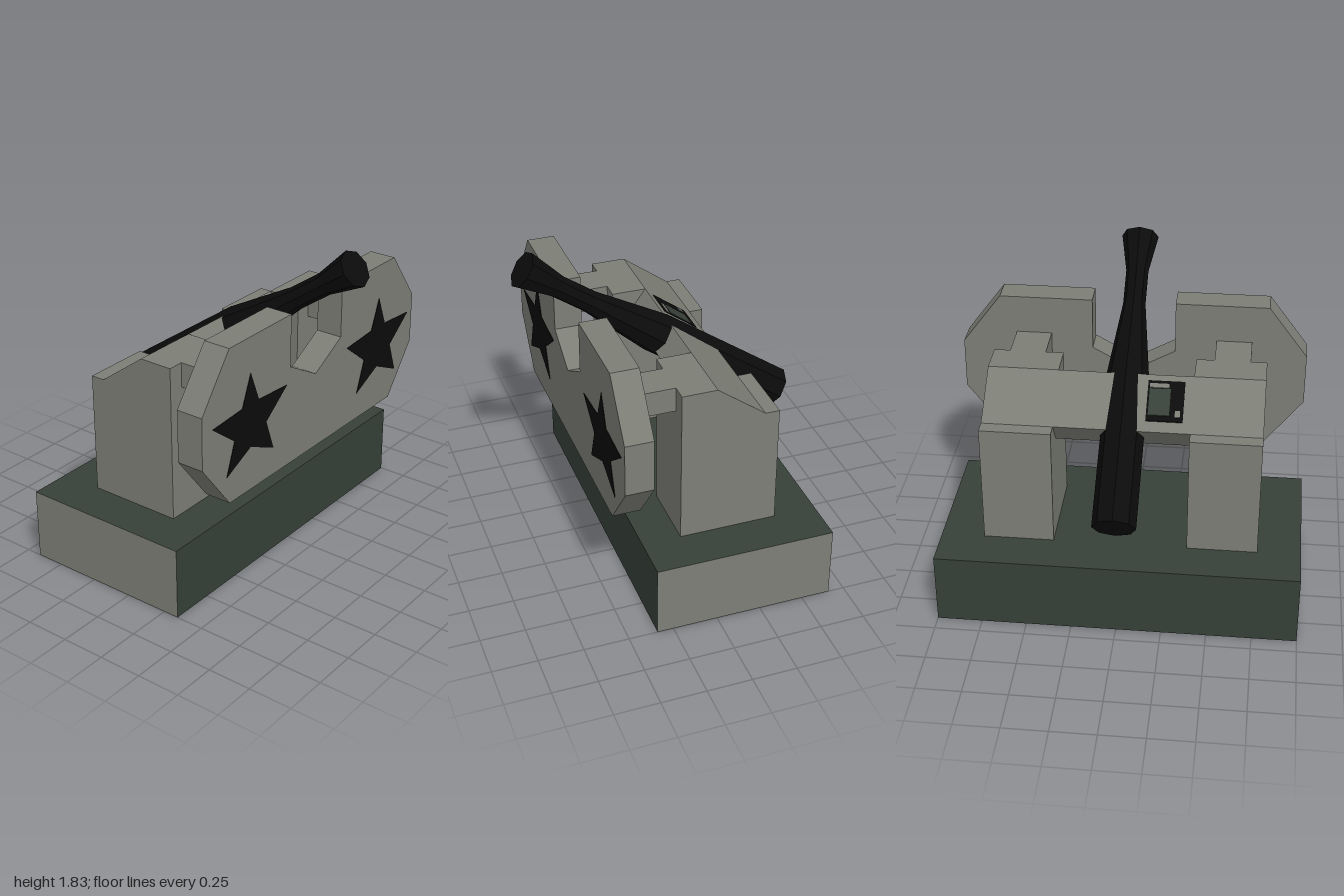
import * as THREE from 'three';

const makeMaterial = (name, color) => {
  const m = new THREE.MeshStandardMaterial({ color, flatShading: true });
  m.name = name;
  return m;
};

const toShape = (pts) => new THREE.Shape(pts.map(([a, b]) => new THREE.Vector2(a, b)));

// Extrude an (x, y) outline from z0 to z1
function extrudeZ(pts, z0, z1) {
  return new THREE.ExtrudeGeometry(toShape(pts), { depth: z1 - z0, bevelEnabled: false }).translate(0, 0, z0);
}

// Extrude a (z, y) side profile from x0 to x1
function extrudeX(pts, x0, x1) {
  return new THREE.ExtrudeGeometry(toShape(pts), { depth: x1 - x0, bevelEnabled: false })
    .rotateY(-Math.PI / 2).translate(x1, 0, 0);
}

function box(x0, x1, y0, y1, z0, z1) {
  return new THREE.BoxGeometry(x1 - x0, y1 - y0, z1 - z0)
    .translate((x0 + x1) / 2, (y0 + y1) / 2, (z0 + z1) / 2);
}

// Mirror a right half outline, listed from bottom centre to top centre
const mirrored = (half) => [...half, ...half.slice().reverse().filter(([x]) => x > 0).map(([x, y]) => [-x, y])];

export function createModel() {
  const grey = makeMaterial('stoneGrey', 0x7c7e76);
  const green = makeMaterial('darkGreen', 0x364038);
  const black = makeMaterial('black', 0x0b0b0b);

  const model = new THREE.Group();
  model.name = 'mountedCannon';
  const add = (name, geometry, material) => {
    const mesh = new THREE.Mesh(geometry, material);
    mesh.name = name;
    model.add(mesh);
    return mesh;
  };

  // Plinth: grey ends, green everywhere else
  add('base', box(-1, 1, 0, 0.41, -0.66, 0.34), [grey, grey, green, green, green, green]);

  // Two towers with a sloping rear shoulder, and arms reaching to the shield
  const tower = [[-0.42, 0.41], [0.125, 0.41], [0.125, 1.3], [-0.07, 1.3], [-0.34, 1.1], [-0.42, 1.1]];
  for (const [side, s] of [['left', 1], ['right', -1]]) {
    const span = (a, b) => (s > 0 ? [a, b] : [-b, -a]);
    add(side + 'Tower', extrudeX(tower, ...span(0.37, 0.76)), grey);
    add(side + 'Arm', box(...span(0.47, 0.67), 1.16, 1.3, 0.125, 0.35), grey);
  }

  // Tilted slab joining the towers
  add('bridge', extrudeX([[-0.34, 1.1], [-0.24, 0.965], [0.03, 1.165], [-0.07, 1.3]], -0.37, 0.37), grey);

  // Front shield with a pointed notch for the barrel
  const shield = mirrored([
    [0.76, 0.645], [0.98, 0.93], [0.98, 1.225], [0.76, 1.52], [0.235, 1.52], [0.235, 1.22], [0, 1.09],
  ]);
  add('shield', extrudeZ(shield, 0.35, 0.505), grey);

  // Painted stars
  const star = mirrored([
    [0, -0.14], [0.2, -0.232], [0.135, -0.05], [0.315, 0.09], [0.07, 0.107], [0, 0.282],
  ]);
  for (const [name, x] of [['rightStar', -0.585], ['leftStar', 0.615]]) {
    add(name, extrudeZ(star, 0, 0.004), black).position.set(x, 1.038, 0.504);
  }

  // Eight-sided barrel: thick breech, narrow neck, flared muzzle
  const profile = [[0, 0], [0.119, 0], [0.119, 0.877], [0.063, 1.336], [0.063, 1.547], [0.104, 1.773], [0, 1.773]];
  const barrel = add('barrel', new THREE.LatheGeometry(profile.map(([r, y]) => new THREE.Vector2(r, y)), 8), black);
  barrel.position.set(0, 0.73, -0.72);
  barrel.rotation.x = Math.atan2(0.818, 0.575);

  // Control panel lying on the bridge slope, given as x and z ranges
  const slopeY = (z) => 1.3 + (z + 0.07) * 0.2 / 0.27;
  const plate = (name, x0, x1, z0, z1, lift, material) => {
    const low = slopeY(z0), high = slopeY(z1);
    add(name, extrudeX([[z0, low], [z1, high], [z1, high + lift], [z0, low + lift]], x0, x1), material);
  };
  plate('panel', -0.325, -0.125, -0.29, -0.1, 0.004, black);
  plate('panelScreen', -0.25, -0.135, -0.265, -0.14, 0.007, green);
  plate('panelStrip', -0.24, -0.135, -0.135, -0.115, 0.007, grey);
  plate('panelButton', -0.308, -0.28, -0.27, -0.24, 0.007, grey);

  return model;
}
